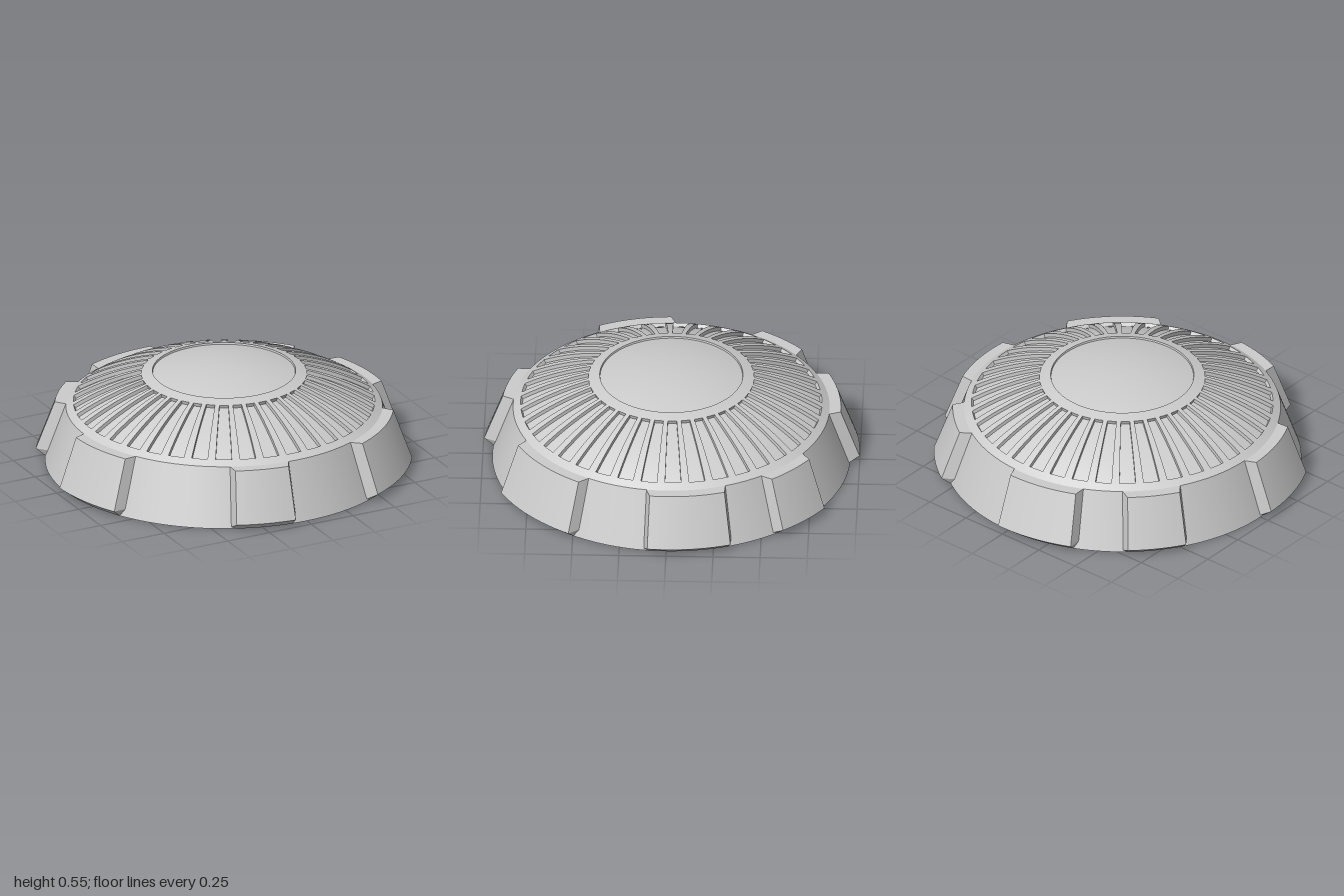
import * as THREE from 'three';
import { mergeGeometries, toCreasedNormals } from 'three/addons/utils/BufferGeometryUtils.js';

const R = 1.536, CENTRE_Y = -0.976;       // sphere that carries the dome
const COUNT = 39;                         // radial pockets around the dome
const PITCH = (Math.PI * 2) / COUNT;
const POCKET = (PITCH * 2) / 3;           // angular width of one pocket
const SEGMENTS = COUNT * 3;
const START = -POCKET / 2;
const R_OUT = 0.8, R_IN = 0.44, R_DISC = 0.38;
const POCKET_DEPTH = 0.02, DISC_DEPTH = 0.01;
const deg = THREE.MathUtils.degToRad;

// Point on the dome at radius r, sunk along the surface normal
function domePoint(r, depth = 0) {
  const t = Math.asin(r / R);
  return new THREE.Vector2((R - depth) * Math.sin(t), CENTRE_Y + (R - depth) * Math.cos(t));
}

function domeArc(r0, r1, n, depth = 0) {
  return Array.from({ length: n + 1 }, (_, i) => domePoint(r0 + ((r1 - r0) * i) / n, depth));
}

function turn(points, segments = SEGMENTS, start = START, length = Math.PI * 2) {
  return toCreasedNormals(new THREE.LatheGeometry(points, segments, start, length), 0.4);
}

// Radial side wall of a pocket at one angle
function pocketWall(phi) {
  const g = new THREE.PlaneGeometry(1, 1, 8, 1);
  const p = g.attributes.position;
  for (let i = 0; i < p.count; i++) {
    const r = R_IN + (R_OUT - R_IN) * (p.getX(i) + 0.5);
    const q = domePoint(r, p.getY(i) > 0 ? 0 : POCKET_DEPTH);
    p.setXYZ(i, q.x * Math.sin(phi), q.y, q.x * Math.cos(phi));
  }
  g.computeVertexNormals();
  return g.toNonIndexed();
}

// Curved block on the skirt: chamfered foot, sloped face and drafted sides
function lugGeometry(from, to) {
  const g = new THREE.BoxGeometry(1, 1, 1, 12, 2, 1);
  const p = g.attributes.position;
  const heights = [0, 0.04, 0.31], outer = [0.95, 1.0, 0.9], inner = [0.93, 0.92, 0.83];
  const mid = deg((from + to) / 2), width = deg(to - from);
  for (let i = 0; i < p.count; i++) {
    const row = Math.round((p.getY(i) + 0.5) * 2);
    const outside = p.getZ(i) > 0;
    const r = outside ? outer[row] : inner[row];
    const phi = mid + p.getX(i) * (width + (outside ? 0 : deg(4)));
    p.setXYZ(i, r * Math.sin(phi), heights[row], r * Math.cos(phi));
  }
  return toCreasedNormals(g, 0.3);
}

export function createModel() {
  const group = new THREE.Group();
  const material = new THREE.MeshStandardMaterial({ color: 0xcccccc });
  const thin = new THREE.MeshStandardMaterial({ color: 0xcccccc, side: THREE.DoubleSide });
  const add = (name, geometry, mat = material) => {
    const mesh = new THREE.Mesh(geometry, mat);
    mesh.name = name;
    group.add(mesh);
  };

  // Sloped skirt with its closed underside
  add('skirt', turn([[0, 0], [0.95, 0], [0.84, 0.31]].map(([x, y]) => new THREE.Vector2(x, y))));

  // Plain bands outside and inside the pockets, and the sunken centre disc
  add('outerBand', turn([new THREE.Vector2(0.84, 0.31), ...domeArc(R_OUT, R_OUT, 0 + 1).slice(0, 1)]));
  add('innerBand', turn(domeArc(R_IN, R_DISC, 2)));
  add('centreDisc', turn([domePoint(R_DISC), ...domeArc(R_DISC, 0, 10, DISC_DEPTH)]));

  // Ribs alternating with sunken pockets
  const ribs = [], floors = [], walls = [];
  const ribProfile = domeArc(R_OUT, R_IN, 8);
  const pocketProfile = [domePoint(R_OUT), ...domeArc(R_OUT, R_IN, 8, POCKET_DEPTH), domePoint(R_IN)];
  for (let i = 0; i < COUNT; i++) {
    const a = START + i * PITCH;
    floors.push(turn(pocketProfile, 2, a, POCKET));
    ribs.push(turn(ribProfile, 1, a + POCKET, PITCH - POCKET));
    walls.push(pocketWall(a), pocketWall(a + POCKET));
  }
  add('ribs', mergeGeometries(ribs));
  add('pocketFloors', mergeGeometries(floors));
  add('pocketWalls', mergeGeometries(walls), thin);

  // Lugs around the skirt: start and end angle in degrees from the front
  const lugs = [[-88.3, -63.2], [-23.7, -5.2], [27.1, 58.5], [84.3, 109.9],
    [128, 146], [178.3, 203.6], [221.3, 239.3]];
  for (const [from, to] of lugs) add('lug', lugGeometry(from, to));

  return group;
}
